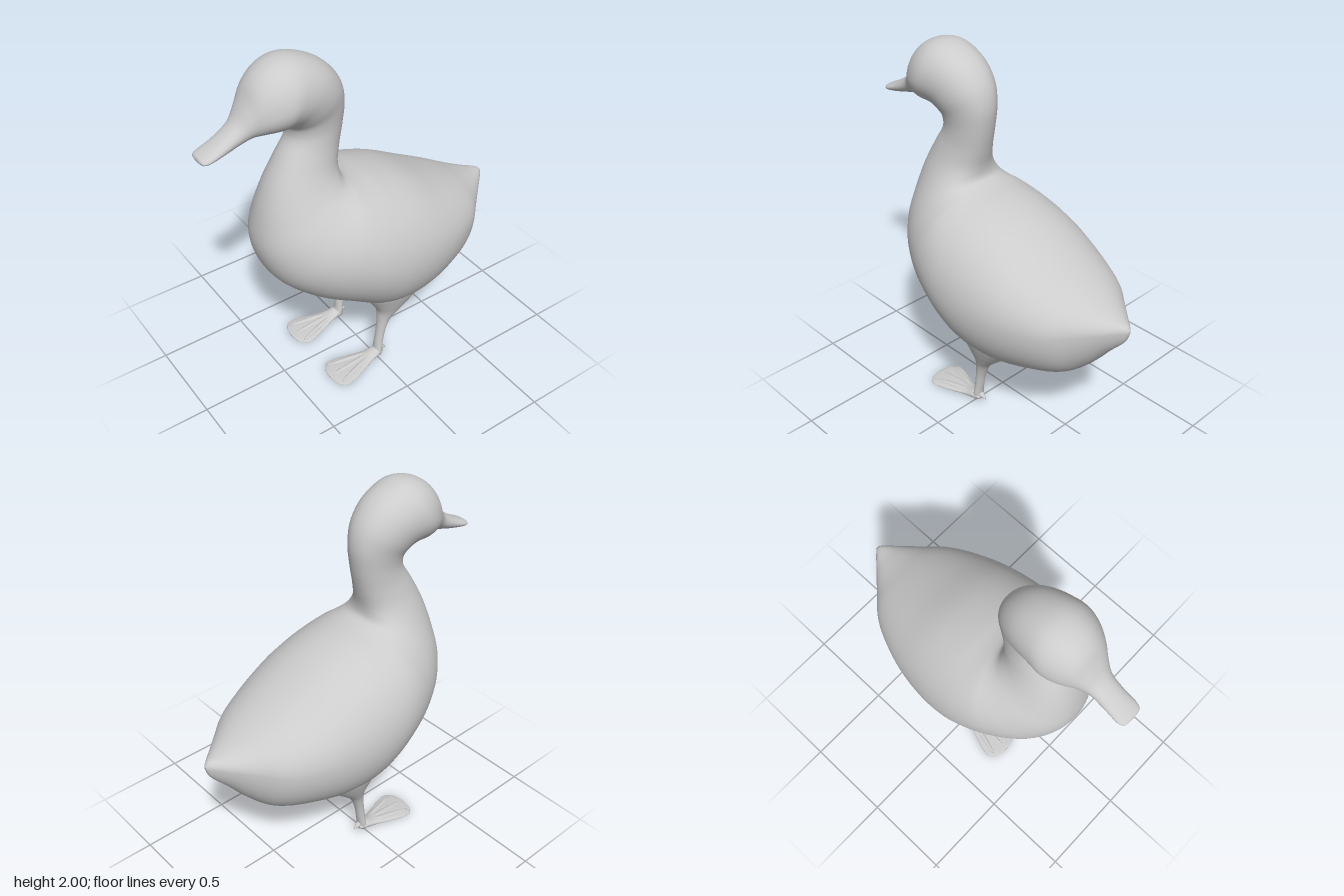
import * as THREE from 'three';

const material = new THREE.MeshStandardMaterial({ color: 0xcccccc });

// Smooth skin over rings. Each row: [topZ, topY, bottomZ, bottomY, halfWidth, height of widest point 0..1]
function loft(name, rows, { x = 0, steps = 5, sides = 40, power = 1 } = {}) {
  const top = new THREE.CatmullRomCurve3(rows.map(r => new THREE.Vector3(r[4], r[1], r[0])));
  const low = new THREE.CatmullRomCurve3(rows.map(r => new THREE.Vector3(r[5] ?? 0.5, r[3], r[2])));
  const n = (rows.length - 1) * steps;
  const pos = [], index = [];
  for (let i = 0; i <= n; i++) {
    const t = top.getPoint(i / n), b = low.getPoint(i / n), m = b.x;
    for (let j = 0; j < sides; j++) {
      const a = (j / sides) * Math.PI * 2, c = Math.cos(a), s = Math.sin(a);
      const k = m + c * (c > 0 ? 1 - m : m);
      const wide = Math.sign(s) * Math.pow(Math.abs(s), power) * t.x;
      pos.push(x + wide, b.y + (t.y - b.y) * k, b.z + (t.z - b.z) * k);
      if (i < n) {
        const p = i * sides + j, q = i * sides + (j + 1) % sides;
        index.push(p, p + sides, q, q, p + sides, q + sides);
      }
    }
  }
  // end caps
  for (let j = 1; j < sides - 1; j++) {
    const e = n * sides;
    index.push(0, j, j + 1, e, e + j + 1, e + j);
  }
  const g = new THREE.BufferGeometry();
  g.setAttribute('position', new THREE.Float32BufferAttribute(pos, 3));
  g.setIndex(index);
  g.computeVertexNormals();
  const mesh = new THREE.Mesh(g, material);
  mesh.name = name;
  return mesh;
}

// Tail, body, breast
const bodyRows = [
  [-0.887, 0.845, -0.887, 0.825, 0.008, 0.6],
  [-0.87, 0.865, -0.865, 0.77, 0.03, 0.65],
  [-0.79, 0.89, -0.78, 0.67, 0.11, 0.66],
  [-0.69, 0.93, -0.7, 0.57, 0.2, 0.64],
  [-0.59, 0.98, -0.59, 0.47, 0.295, 0.6],
  [-0.4, 1.075, -0.4, 0.405, 0.385, 0.55],
  [-0.2, 1.18, -0.2, 0.365, 0.435, 0.51],
  [-0.02, 1.24, 0, 0.39, 0.45, 0.49],
  [0.07, 1.26, 0.2, 0.5, 0.435, 0.48],
  [0.115, 1.275, 0.4, 0.62, 0.395, 0.5],
  [0.138, 1.29, 0.55, 0.77, 0.335, 0.5],
  [0.148, 1.31, 0.612, 0.95, 0.27],
  [0.15, 1.34, 0.595, 1.12, 0.213],
  [0.145, 1.38, 0.54, 1.3, 0.165],
];
// Neck, head and bill carry on from the breast
const headRows = [
  [0.127, 1.46, 0.462, 1.45, 0.132],
  [0.103, 1.58, 0.402, 1.55, 0.12],
  [0.093, 1.7, 0.403, 1.605, 0.13],
  [0.12, 1.81, 0.42, 1.628, 0.152],
  [0.19, 1.905, 0.44, 1.64, 0.168],
  [0.29, 1.97, 0.47, 1.645, 0.18, 0.48],
  [0.4, 2.0, 0.5, 1.647, 0.186, 0.45],
  [0.5, 1.98, 0.54, 1.65, 0.168, 0.42],
  [0.58, 1.92, 0.585, 1.65, 0.135, 0.42],
  [0.637, 1.82, 0.63, 1.643, 0.098],
  [0.69, 1.74, 0.685, 1.625, 0.072],
  [0.78, 1.675, 0.775, 1.602, 0.067],
  [0.855, 1.637, 0.855, 1.591, 0.067],
  [0.88, 1.625, 0.88, 1.594, 0.055],
  [0.887, 1.615, 0.887, 1.603, 0.03],
];

// Leg from ankle up into the flaring thigh
const legRows = [
  [-0.035, 0.02, 0.03, 0.02, 0.032],
  [-0.034, 0.06, 0.012, 0.06, 0.033],
  [-0.042, 0.11, 0.006, 0.11, 0.029],
  [-0.06, 0.2, -0.006, 0.2, 0.031],
  [-0.095, 0.28, -0.012, 0.28, 0.042],
  [-0.15, 0.34, -0.008, 0.34, 0.064],
  [-0.23, 0.41, 0.03, 0.41, 0.093],
  [-0.32, 0.5, 0.09, 0.5, 0.125],
  [-0.36, 0.62, 0.13, 0.62, 0.15],
];
// Webbed foot
const webRows = [
  [-0.035, 0.045, -0.035, 0.02, 0.02],
  [0, 0.062, 0, 0.008, 0.035],
  [0.06, 0.046, 0.06, 0.004, 0.046],
  [0.13, 0.035, 0.13, 0.002, 0.07],
  [0.22, 0.028, 0.22, 0, 0.1],
  [0.275, 0.023, 0.275, 0, 0.105],
  [0.31, 0.019, 0.31, 0.003, 0.07],
  [0.322, 0.014, 0.322, 0.008, 0.02],
];
// Small toe behind the ankle
const spurRows = [
  [-0.066, 0.036, -0.066, 0.03, 0.004],
  [-0.045, 0.057, -0.045, 0.03, 0.013],
  [0, 0.075, 0, 0.03, 0.022],
];

export function createModel() {
  const model = new THREE.Group();
  model.name = 'duck';
  model.add(loft('bodyNeckHeadAndBill', [...bodyRows, ...headRows], { sides: 56, power: 0.92 }));

  for (const side of [1, -1]) {
    const label = side > 0 ? 'left' : 'right';

    const leg = new THREE.Group();
    leg.name = label + 'Leg';
    const x = side * 0.2;
    leg.add(
      loft('shankAndThigh', legRows, { x, sides: 28 }),
      loft('webbedFoot', webRows, { x: side * 0.203, sides: 28 }),
      loft('hindToe', spurRows, { x, sides: 14 }),
    );
    // toe ridges fanning over the web
    for (const spread of [-0.26, 0, 0.26]) {
      const toe = new THREE.Mesh(new THREE.SphereGeometry(1, 16, 10), material);
      toe.name = 'toeRidge';
      toe.scale.set(0.014, 0.01, 0.14);
      toe.position.set(x + Math.sin(spread) * 0.16, 0.028, 0.01 + Math.cos(spread) * 0.15);
      toe.rotation.set(0.07, spread, 0, 'YXZ');
      leg.add(toe);
    }
    model.add(leg);

    // softly bulging eye
    const eye = new THREE.Mesh(new THREE.SphereGeometry(1, 20, 14), material);
    eye.name = label + 'Eye';
    eye.scale.set(0.022, 0.028, 0.045);
    eye.position.set(side * 0.133, 1.868, 0.49);
    eye.rotation.set(0, -side * 0.35, side * 0.35);
    model.add(eye);
  }
  return model;
}
